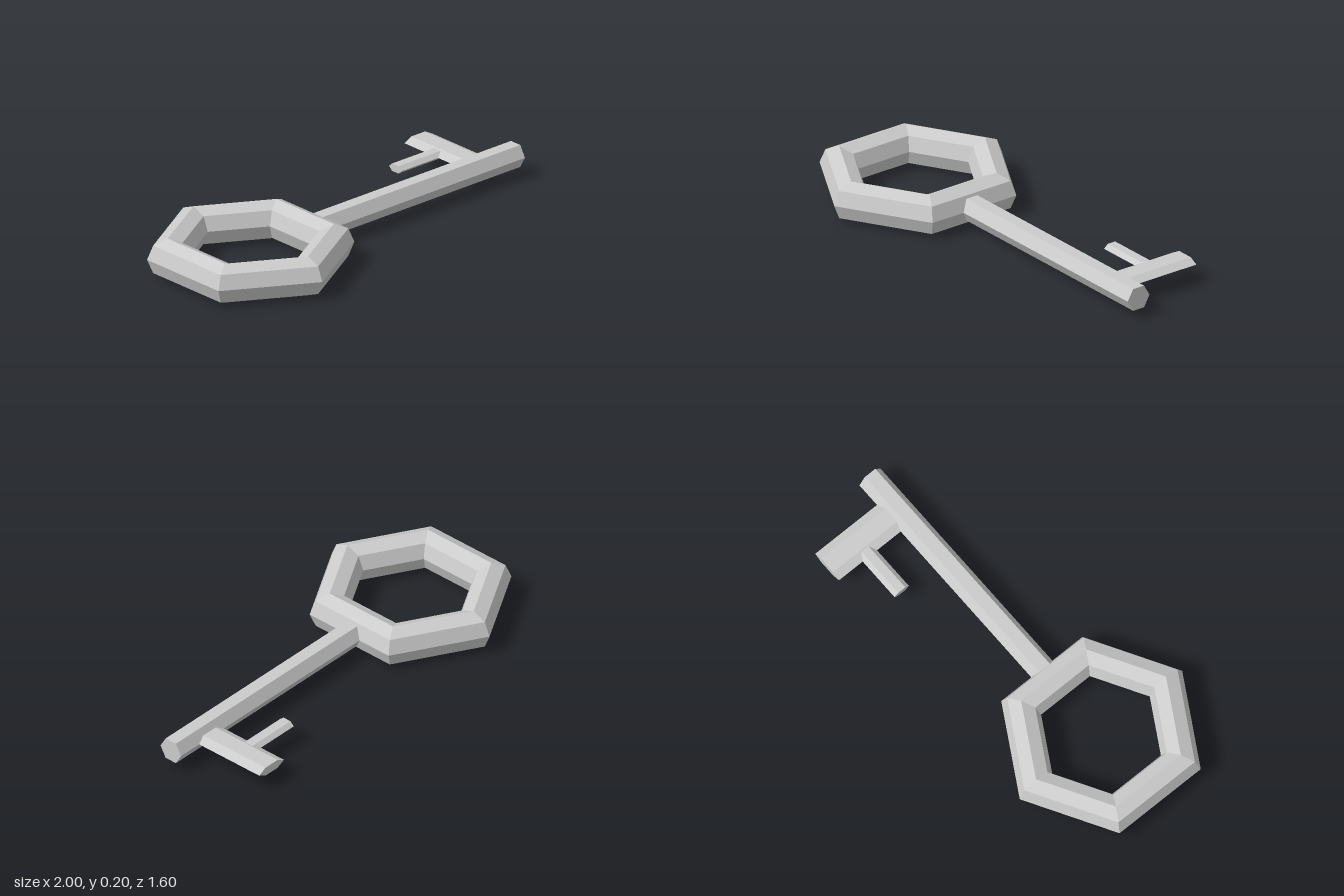
import * as THREE from 'three';

const material = new THREE.MeshStandardMaterial({ color: 0xcccccc, flatShading: true });

function addPart(parent, name, geometry) {
  const mesh = new THREE.Mesh(geometry, material);
  mesh.name = name;
  parent.add(mesh);
  return mesh;
}

// Six-sided bar from x0 to x1, edges at its sides, flat on top; squash thins it in y
function hexBar(radius, x0, x1, squash = 1) {
  return new THREE.CylinderGeometry(radius, radius, x1 - x0, 6)
    .rotateZ(-Math.PI / 2)
    .translate((x0 + x1) / 2, 0, 0)
    .scale(1, squash, 1);
}

export function createModel() {
  const model = new THREE.Group();
  model.name = 'key';

  // Key frame: origin at the bow's centre, x along the shaft
  const key = new THREE.Group();
  key.name = 'keyBody';
  key.position.set(-0.5, 0.1, 0.365);
  key.rotation.y = Math.PI / 6;
  model.add(key);

  // Hexagonal bow, one flat side facing the shaft
  const bow = new THREE.TorusGeometry(0.4, 0.1, 8, 6).rotateX(Math.PI / 2).rotateY(Math.PI / 6);
  addPart(key, 'bow', bow);

  // Shaft, starting inside the bow
  addPart(key, 'shaft', hexBar(0.065, 0.36, 1.69));

  // Wide flat bit, pointing sideways from the shaft
  const bit = hexBar(0.087, 0, 0.445, 0.3).rotateY(Math.PI / 2).translate(1.475, 0, 0);
  addPart(key, 'bit', bit);

  // Small tooth, pointing from the bit back towards the bow
  addPart(key, 'tooth', hexBar(0.044, 1.155, 1.47, 0.5).translate(0, 0, -0.255));

  return model;
}
